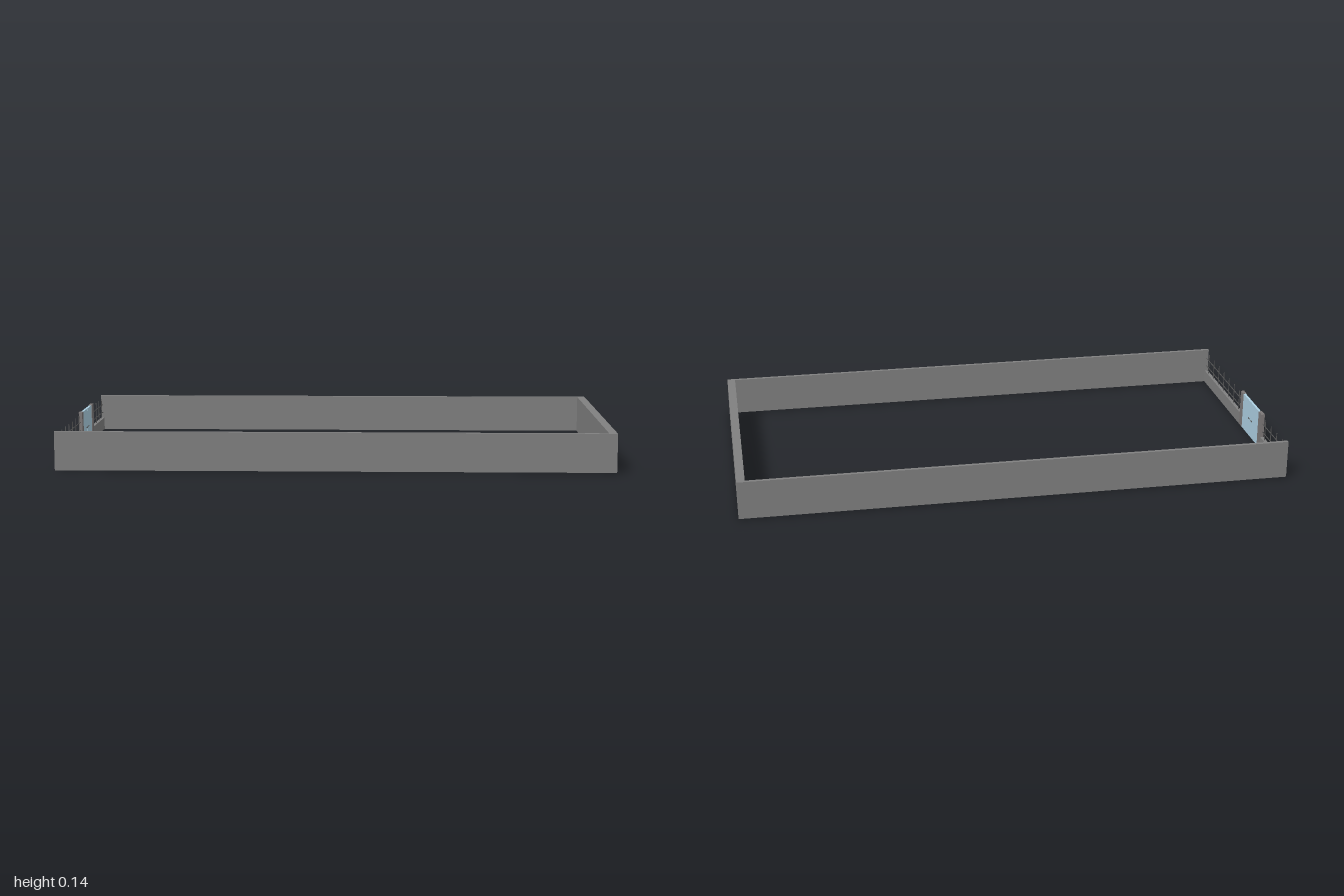
import * as THREE from 'three';

export function createModel() {
  const model = new THREE.Group();
  model.name = 'walledYard';
  const wallGrey = new THREE.MeshStandardMaterial({ color: 0x808080 });
  wallGrey.name = 'wall grey';
  const postGrey = new THREE.MeshStandardMaterial({ color: 0x7d7878 });
  postGrey.name = 'post grey';
  const iron = new THREE.MeshStandardMaterial({ color: 0x555555 });
  iron.name = 'iron grey';
  const gateBlue = new THREE.MeshStandardMaterial({ color: 0xadd0e2 });
  gateBlue.name = 'gate blue';

  // Box given by its minimum and maximum on each axis
  function box(name, material, [x0, x1], [y0, y1], [z0, z1], parent = model) {
    const mesh = new THREE.Mesh(new THREE.BoxGeometry(x1 - x0, y1 - y0, z1 - z0), material);
    mesh.position.set((x0 + x1) / 2, (y0 + y1) / 2, (z0 + z1) / 2);
    mesh.name = name;
    parent.add(mesh);
  }

  const base = 0.002, top = 0.142, thick = 0.013;
  const side = [-1, -1 + thick];

  // Three full-height walls
  box('frontWall', wallGrey, [-1, 1], [base, top], [0.5 - thick, 0.5]);
  box('backWall', wallGrey, [-1, 1], [base, top], [-0.5, -0.5 + thick]);
  box('leftWall', wallGrey, [0.97, 1], [base, top], [-0.5 + thick, 0.5 - thick]);

  // Gate posts
  box('gatePostBack', postGrey, side, [base, top], [-0.235, -0.2]);
  box('gatePostFront', postGrey, side, [base, top], [-0.012, 0.016]);

  // Low wall with a thin iron fence, on each side of the gate
  const barX = [-0.9945, -0.992];
  function fence(name, z0, z1, count) {
    const group = new THREE.Group();
    group.name = name;
    box('lowWall', wallGrey, side, [base, 0.05], [z0, z1], group);
    for (const y of [0.072, 0.104]) {
      box('fenceRail', iron, barX, [y - 0.0012, y + 0.0012], [z0, z1], group);
    }
    for (let i = 0; i < count; i++) {
      const z = z0 + (z1 - z0) * (i + 0.5) / count;
      box('fenceBar', iron, barX, [0.05, 0.132], [z - 0.0012, z + 0.0012], group);
    }
    model.add(group);
  }
  fence('frontFence', 0.016, 0.5 - thick, 7);
  fence('backFence', -0.5 + thick, -0.235, 4);

  // Double gate: two leaves with a narrow gap and a handle on each
  const gate = new THREE.Group();
  gate.name = 'gate';
  const middle = -0.106;
  for (const s of [-1, 1]) {
    const ends = [middle + s * 0.001, middle + s * 0.094].sort((a, b) => a - b);
    box('gateLeaf', gateBlue, [-0.998, -0.989], [0, 0.14], ends, gate);
    const grip = [middle + s * 0.008, middle + s * 0.024].sort((a, b) => a - b);
    box('gateHandle', iron, [-1, -0.987], [0.067, 0.07], grip, gate);
  }
  model.add(gate);
  return model;
}
